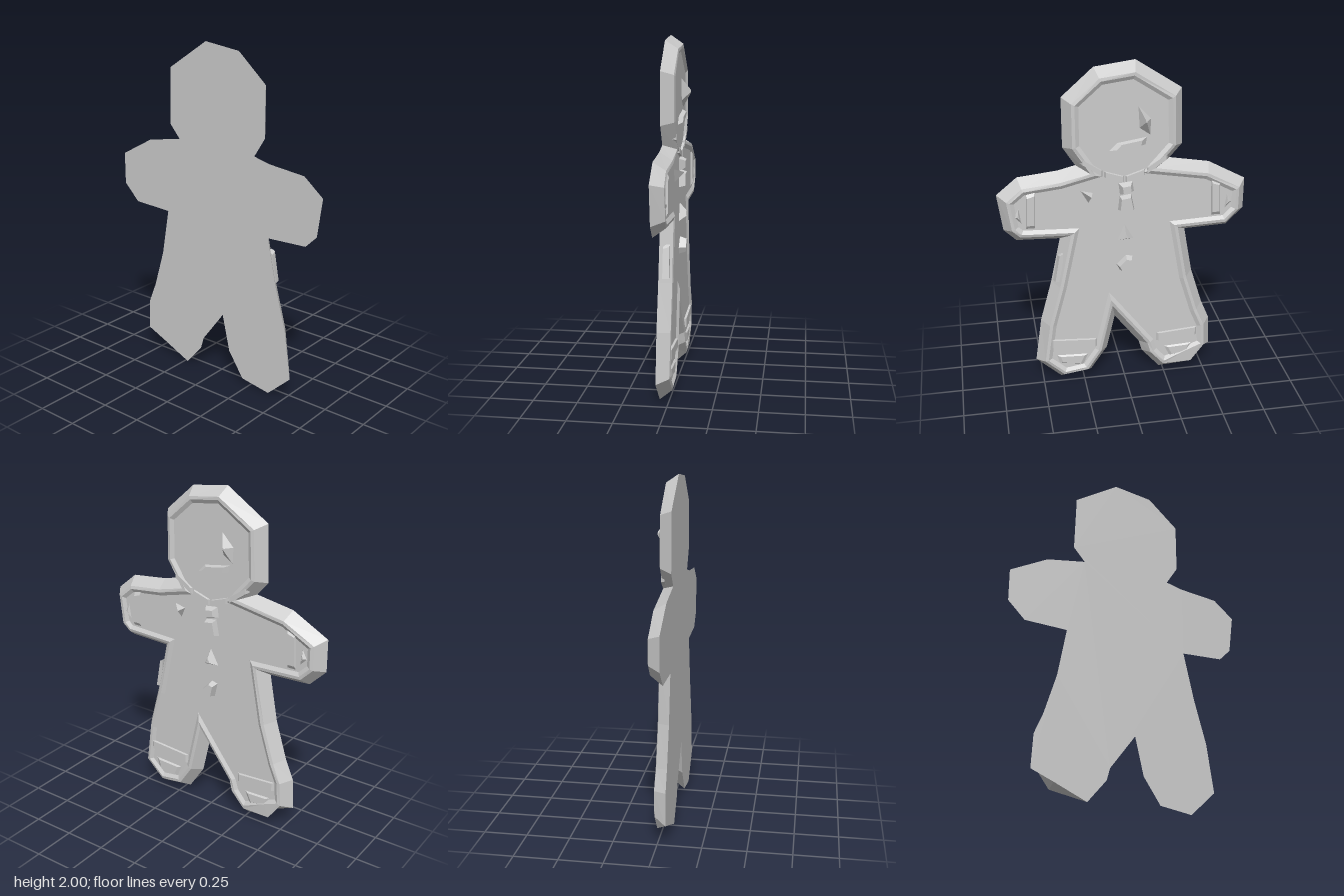
import * as THREE from 'three';

const FRONT = 0.055, RIM = -0.018, FACE = -0.005;

// Outline, counter-clockwise seen from +z
const OUTLINE = [
  [-0.07, 2], [-0.33, 1.83], [-0.34, 1.5], [-0.27, 1.42], [-0.5, 1.38], [-0.72, 1.26],
  [-0.72, 1.07], [-0.62, 0.97], [-0.37, 0.96], [-0.42, 0.68], [-0.49, 0.45], [-0.54, 0.33],
  [-0.55, 0.14], [-0.42, 0.085], [-0.23, 0], [-0.12, 0.13], [-0.1, 0.2], [0.05, 0.4],
  [0.1, 0.18], [0.2, 0.03], [0.39, 0], [0.54, 0.14], [0.5, 0.42], [0.43, 0.68],
  [0.37, 0.96], [0.62, 0.97], [0.69, 1.04], [0.72, 1.26], [0.6, 1.36], [0.37, 1.385],
  [0.27, 1.41], [0.34, 1.52], [0.34, 1.81], [0.16, 1.97],
].map(([x, y]) => new THREE.Vector2(x, y));

const material = new THREE.MeshStandardMaterial({ color: 0xcccccc, flatShading: true });

// Mitred inset of a closed outline
function inset(points, d) {
  const n = points.length;
  return points.map((p, i) => {
    const a = p.clone().sub(points[(i + n - 1) % n]).normalize();
    const b = points[(i + 1) % n].clone().sub(p).normalize();
    const na = new THREE.Vector2(-a.y, a.x), nb = new THREE.Vector2(-b.y, b.x);
    const m = na.clone().add(nb);
    return p.clone().addScaledVector(m, d / Math.max(0.35, 1 + na.dot(nb)));
  });
}

const ring = (points, z) => points.map((p, i) =>
  new THREE.Vector3(p.x, p.y, typeof z === 'function' ? z(i) : z));

// Skins matching rings from front to back and closes both ends
function loft(name, rings) {
  const pos = [];
  const tri = (...vs) => vs.forEach(v => pos.push(v.x, v.y, v.z));
  for (let r = 0; r < rings.length - 1; r++) {
    const A = rings[r], B = rings[r + 1];
    for (let i = 0; i < A.length; i++) {
      const j = (i + 1) % A.length;
      tri(A[i], B[i], A[j]);
      tri(A[j], B[i], B[j]);
    }
  }
  const cap = (R, dir) => {
    const flat = R.map(v => new THREE.Vector2(v.x, v.y));
    for (const [a, b, c] of THREE.ShapeUtils.triangulateShape(flat, [])) {
      const area = flat[b].clone().sub(flat[a]).cross(flat[c].clone().sub(flat[a]));
      if (area * dir > 0) tri(R[a], R[b], R[c]);
      else tri(R[a], R[c], R[b]);
    }
  };
  cap(rings[0], 1);
  cap(rings[rings.length - 1], -1);
  const geo = new THREE.BufferGeometry();
  geo.setAttribute('position', new THREE.Float32BufferAttribute(pos, 3));
  geo.computeVertexNormals();
  const mesh = new THREE.Mesh(geo, material);
  mesh.name = name;
  return mesh;
}

// Raised piece of icing on the decorated side: polygon tapering toward a top
function icing(name, coords, z, taper, shift = [0, 0]) {
  let pts = coords.map(([x, y]) => new THREE.Vector2(x, y));
  if (THREE.ShapeUtils.area(pts) < 0) pts.reverse();
  const c = pts.reduce((s, p) => s.add(p), new THREE.Vector2()).divideScalar(pts.length);
  const top = pts.map(p => p.clone().sub(c).multiplyScalar(taper).add(c)
    .add(new THREE.Vector2(...shift)));
  return loft(name, [ring(pts, 0.005), ring(top, z)]);
}

export function createModel() {
  const g = new THREE.Group();
  g.name = 'gingerbreadMan';

  // Cookie: flat front, bevelled sides, uneven rim around a sunken face
  const edge = inset(OUTLINE, 0.048);
  edge[13].set(-0.42, 0.06);
  const uneven = i => RIM + 0.006 * Math.abs(Math.sin(i * 2.3));
  g.add(loft('cookieBody', [
    ring(OUTLINE, FRONT),
    ring(edge, uneven),
    ring(inset(OUTLINE, 0.066), RIM),
    ring(inset(OUTLINE, 0.088), FACE),
  ]));

  // Face
  g.add(icing('eye', [[-0.07, 1.77], [-0.155, 1.68], [-0.15, 1.57], [-0.08, 1.62]], -0.055, 0.08, [0, 0.02]));
  g.add(icing('mouth', [[0.1, 1.5], [0.05, 1.55], [-0.14, 1.58], [-0.13, 1.53]], -0.03, 0.6));

  // Chin line and bow tie
  const chin = [[0.25, 1.48], [0.12, 1.39], [0, 1.35], [-0.12, 1.39], [-0.25, 1.48]];
  for (let i = 0; i < chin.length - 1; i++) {
    const [a, b] = [chin[i], chin[i + 1]];
    g.add(icing('chinLine', [a, b, [b[0], b[1] - 0.04], [a[0], a[1] - 0.04]], RIM, 0.8));
  }
  g.add(icing('bowKnot', [[0.04, 1.31], [-0.05, 1.32], [-0.06, 1.25], [0.03, 1.23]], -0.04, 0.5));
  g.add(icing('bowTail', [[0.03, 1.23], [-0.04, 1.24], [-0.06, 1.14], [0.04, 1.14]], -0.042, 0.75));
  g.add(icing('shoulderSpike', [[0.18, 1.26], [0.26, 1.28], [0.21, 1.19]], -0.055, 0.06, [-0.02, 0.01]));

  // Buttons
  g.add(icing('upperButton', [[0, 1.06], [-0.06, 0.95], [0.05, 0.94]], -0.045, 0.25));
  g.add(icing('lowerButton', [[0.05, 0.79], [-0.01, 0.85], [-0.05, 0.84], [-0.03, 0.75], [0.03, 0.75]], -0.045, 0.7));

  // Cuffs on arms and legs
  for (const s of [-1, 1]) {
    g.add(icing('armCuff', [[s * 0.5, 1.31], [s * 0.56, 1.29], [s * 0.57, 1.05], [s * 0.51, 1.05]], RIM, 0.7));
    g.add(icing('handIcing', [[s * 0.6, 1.22], [s * 0.64, 1.14], [s * 0.58, 1.08]], RIM, 0.2));
    const x0 = s < 0 ? -0.19 : 0.16;
    g.add(icing('legCuff', [[x0, 0.29], [s * 0.46, 0.31], [s * 0.46, 0.25], [x0, 0.23]], RIM, 0.85));
    g.add(icing('footIcing', [[x0 + s * 0.04, 0.19], [s * 0.44, 0.2], [s * 0.42, 0.13], [x0 + s * 0.08, 0.1]], RIM + 0.003, 0.6));
  }

  // Small nick of dough at the left waist
  g.add(loft('waistNick', [
    ring([[0.36, 0.88], [0.37, 0.7], [0.42, 0.7], [0.39, 0.86]].map(p => new THREE.Vector2(...p)), 0.035),
    ring([[0.36, 0.88], [0.37, 0.7], [0.41, 0.7], [0.38, 0.87]].map(p => new THREE.Vector2(...p)), 0),
  ]));
  return g;
}
